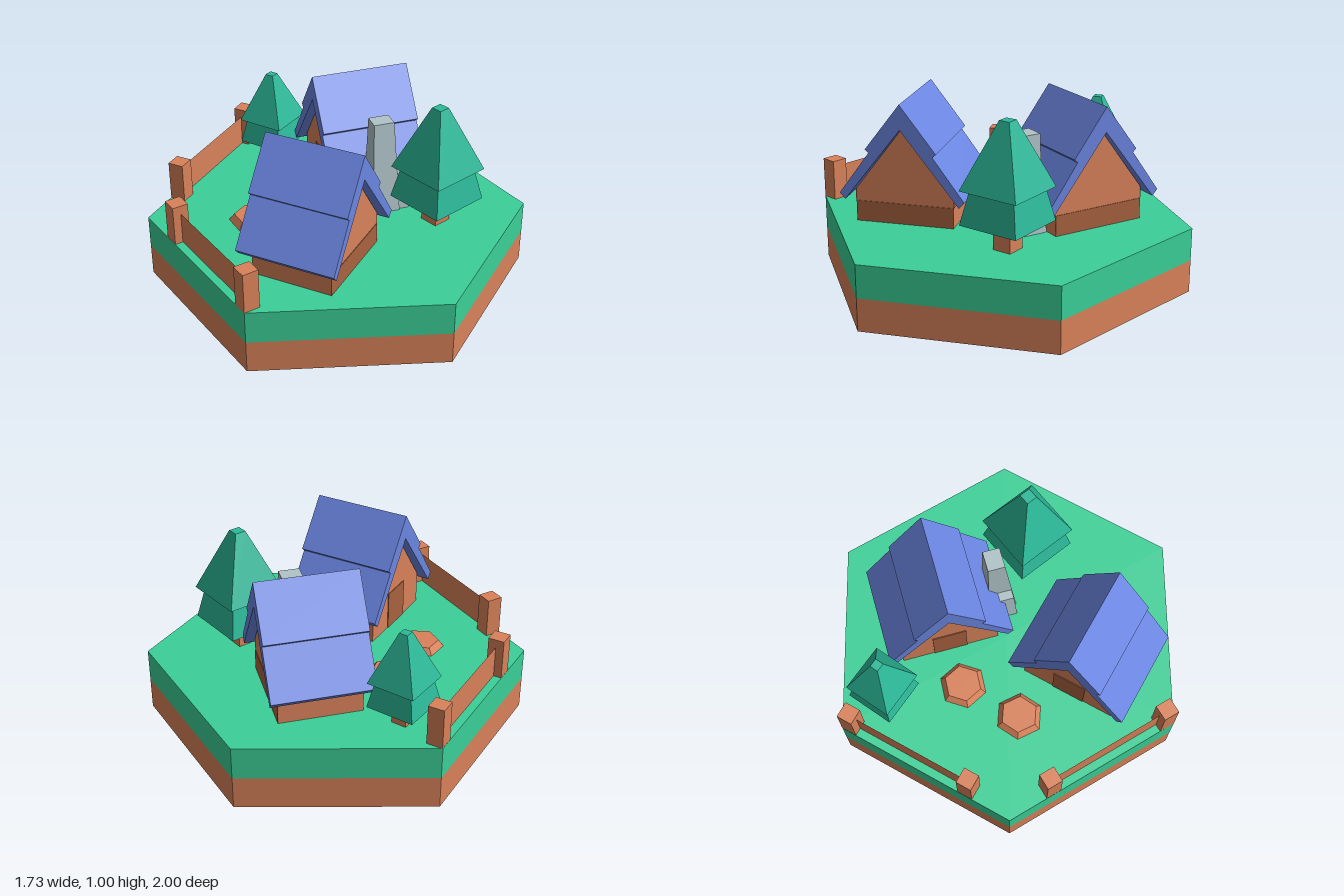
import * as THREE from 'three';

const mat = (color, side = THREE.FrontSide) =>
  new THREE.MeshStandardMaterial({ color, flatShading: true, side });
const CLAY = mat(0xd9825a), DARK = mat(0xa9623f), GRASS = mat(0x3bd098), BLUE = mat(0x6b86e2);
const LEAF = mat(0x2cb999), STONE = mat(0xb0c4c8), PANEL = mat(0xd9825a, THREE.DoubleSide);
const GROUND = 0.35;

function add(parent, name, geometry, material, x = 0, y = 0, z = 0, ry = 0) {
  const m = new THREE.Mesh(geometry, material);
  m.name = name;
  m.position.set(x, y, z);
  m.rotation.y = ry;
  parent.add(m);
  return m;
}

// Profile of [across, up] points, extruded along x and centred
function prism(points, length) {
  const shape = new THREE.Shape(points.map(p => new THREE.Vector2(p[0], p[1])));
  return new THREE.ExtrudeGeometry(shape, { depth: length, bevelEnabled: false })
    .translate(0, 0, -length / 2).rotateY(Math.PI / 2);
}

// Block standing on y = 0 whose top has its own size and z shift
function taperedBox(w0, d0, w1, d1, h, shift = 0) {
  const g = new THREE.BoxGeometry(1, h, 1).translate(0, h / 2, 0);
  const p = g.attributes.position;
  for (let i = 0; i < p.count; i++) {
    const top = p.getY(i) > h / 2;
    p.setX(i, p.getX(i) * (top ? w1 : w0));
    p.setZ(i, p.getZ(i) * (top ? d1 : d0) + (top ? shift : 0));
  }
  return g;
}

function house(name, x, z, ry) {
  const g = new THREE.Group();
  g.name = name;
  g.position.set(x, 0, z);
  g.rotation.y = ry;
  // walls with gables
  add(g, 'walls', prism([[-0.26, GROUND], [0.26, GROUND], [0.26, 0.525], [0, 0.868], [-0.26, 0.525]], 0.43), CLAY);
  // two-step roof
  const half = [[0.187, 0.755], [0.168, 0.738], [0.332, 0.512], [0.303, 0.48]];
  const mirrored = half.map(([a, b]) => [-a, b]).reverse();
  add(g, 'roof', prism([[0, 1], ...half, [0, 0.868], ...mirrored], 0.53), BLUE);
  // dark band on one gable, door on the other
  add(g, 'gableBand', new THREE.BoxGeometry(0.006, 0.11, 0.52), DARK, 0.215, GROUND + 0.055, 0);
  add(g, 'door', new THREE.BoxGeometry(0.008, 0.21, 0.18), DARK, -0.215, GROUND + 0.105, 0);
  // trim under the eaves
  for (const s of [-1, 1])
    add(g, 'eaveTrim', new THREE.BoxGeometry(0.43, 0.06, 0.006), DARK, 0, 0.49, s * 0.26);
  return g;
}

function tree(name, x, z, ry, s) {
  const g = new THREE.Group();
  g.name = name;
  g.position.set(x, GROUND, z);
  g.rotation.y = ry;
  g.scale.setScalar(s);
  add(g, 'trunk', new THREE.CylinderGeometry(0.073, 0.073, 0.16, 4), CLAY, 0, 0.08, 0);
  add(g, 'lowerFoliage', new THREE.CylinderGeometry(0.185, 0.238, 0.18, 4), LEAF, 0, 0.225, 0);
  add(g, 'upperFoliage', new THREE.CylinderGeometry(0.042, 0.238, 0.345, 4), LEAF, 0, 0.4825, 0);
  return g;
}

// Two posts joined by a thin panel
function fence(name, a, b) {
  const g = new THREE.Group();
  g.name = name;
  const dx = b[0] - a[0], dz = b[1] - a[1], ry = Math.atan2(-dz, dx);
  for (const p of [a, b])
    add(g, 'fencePost', new THREE.BoxGeometry(0.085, 0.215, 0.085), CLAY, p[0], GROUND + 0.1075, p[1], ry);
  add(g, 'fencePanel', new THREE.PlaneGeometry(Math.hypot(dx, dz), 0.17), PANEL,
    (a[0] + b[0]) / 2, GROUND + 0.085, (a[1] + b[1]) / 2, ry);
  return g;
}

export function createModel() {
  const model = new THREE.Group();
  model.name = 'villageTile';

  // hexagonal ground in two layers
  const layer = () => new THREE.CylinderGeometry(1, 1, 0.175, 6);
  add(model, 'soil', layer(), CLAY, 0, 0.0875, 0);
  add(model, 'grass', layer(), GRASS, 0, 0.2625, 0);

  // houses
  model.add(house('frontHouse', 0.09, 0.4375, 0));
  const back = house('backHouse', -0.055, -0.378, Math.PI / 4);
  model.add(back);

  // chimney against the long wall of the back house
  const chimney = new THREE.Group();
  chimney.name = 'chimney';
  chimney.position.set(0.01, GROUND, 0.33);
  add(chimney, 'chimneyBase', taperedBox(0.26, 0.13, 0.23, 0.11, 0.2, -0.005), STONE);
  add(chimney, 'chimneyStack', taperedBox(0.15, 0.15, 0.11, 0.09, 0.5, -0.025), STONE);
  back.add(chimney);

  // trees
  model.add(tree('largeTree', 0.495, -0.153, 0.4, 1));
  model.add(tree('smallTree', -0.6, -0.394, 0.69, 0.768));

  // low hexagonal mounds
  const mound = new THREE.CylinderGeometry(0.098, 0.126, 0.036, 6);
  add(model, 'mound', mound, CLAY, -0.357, GROUND + 0.018, -0.065, 0.2);
  add(model, 'mound', mound, CLAY, -0.36, GROUND + 0.018, 0.275, -0.08);

  // fences along two edges
  model.add(fence('sideFence', [-0.8225, -0.46], [-0.8225, 0.235]));
  model.add(fence('frontFence', [-0.615, 0.595], [-0.015, 0.942]));

  return model;
}
